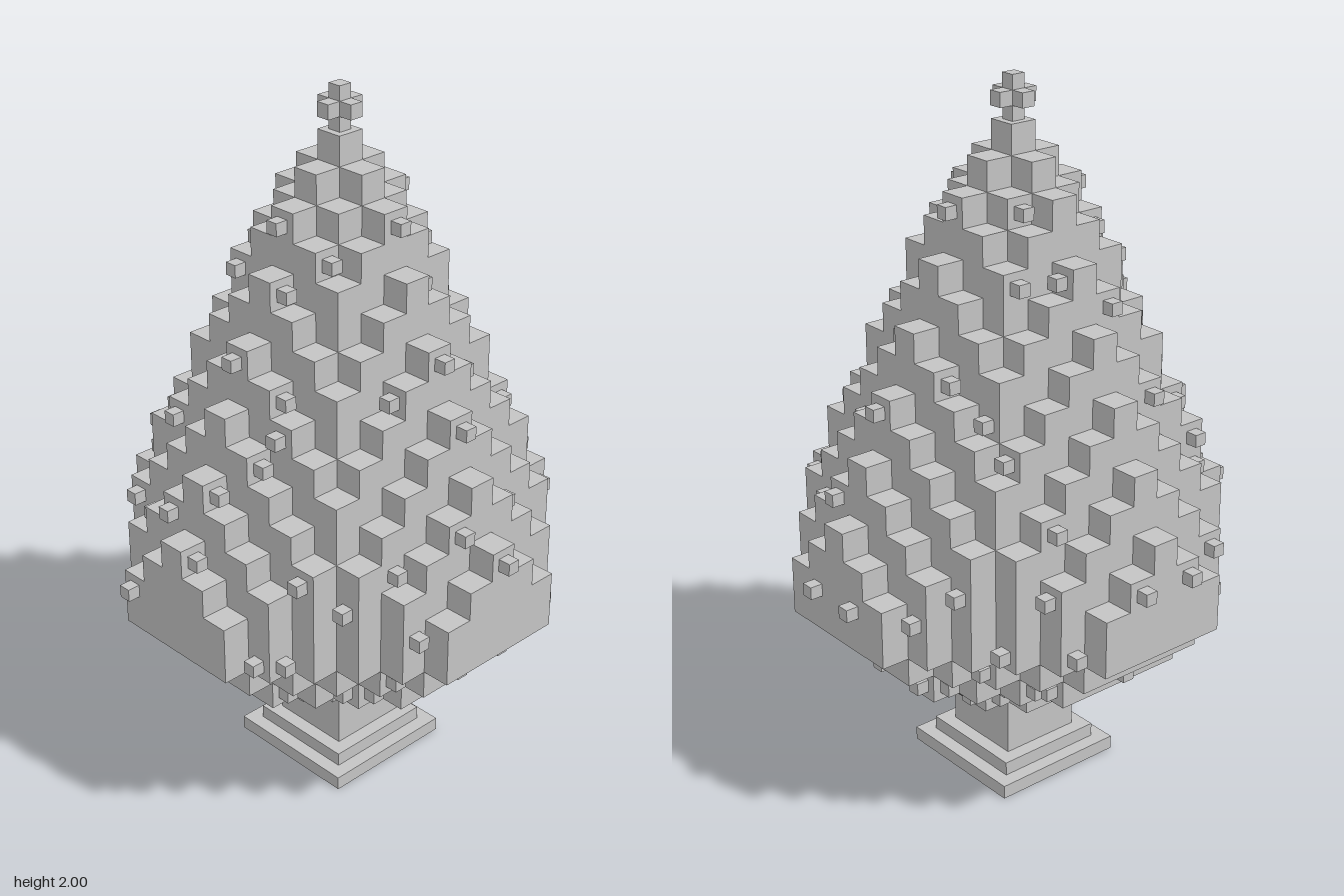
import * as THREE from 'three';

const S = 0.081;       // width of one step
const H = 0.0816;      // height of one layer
const Y0 = 0.247;      // underside of the foliage
const B = 0.036;       // size of a bauble
const LAYERS = 20;

// Lowest layers widen upwards: [half width in steps, cut corner]
const LOWER = [[2, 3], [3, 4], [5, 7], [6, 8]];

// Whether the cell at column i, row j belongs to layer l
function filled(l, i, j) {
  const hi = Math.max(Math.abs(i), Math.abs(j));
  const sum = Math.abs(i) + Math.abs(j);
  if (l < 4) return hi <= LOWER[l][0] && sum <= LOWER[l][1];
  if (l >= 18) return sum <= 19 - l;
  return hi <= 7 && sum <= 9 && hi + sum <= 21 - l;
}

// How many steps the layer reaches outward in column i, or -1 for none
function reach(l, i) {
  let j = 7;
  while (j >= 0 && !filled(l, i, j)) j--;
  return j;
}

// Stepped outline of a layer, extruded upwards
function layerGeometry(l) {
  const n = reach(l, 0);
  const pts = [];
  const add = (x, y) => {
    const p = pts[pts.length - 1];
    if (!p || Math.hypot(p.x - x, p.y - y) > 1e-4) pts.push(new THREE.Vector2(x, y));
  };
  for (const side of [-1, 1]) {
    for (let c = -n; c <= n; c++) {
      const i = -side * c;
      const w = side * (reach(l, i) + 0.5) * S;
      add((i + side * 0.5) * S, w);
      add((i - side * 0.5) * S, w);
    }
  }
  const g = new THREE.ExtrudeGeometry(new THREE.Shape(pts), { depth: H, bevelEnabled: false });
  return g.rotateX(-Math.PI / 2).translate(0, Y0 + l * H, 0);
}

// Columns carrying a bauble on each side, listed per layer from the bottom
const BAUBLES = {
  front: [[-2, 2], [], [-5, -3, 0, 2, 5], [-3], [-6, 3, 6], [-3], [], [-7, -3, 0], [-1, 5], [-6],
    [-5, 4], [0], [-4], [0, 4], [], [-3], [-2], [0]],
  right: [[-2, 1], [-1, 2], [-5, -4, 0, 2, 5], [-3, 4], [-6, -3, 5], [-1, 1, 3], [4, 6], [-5, -3], [-6, -1], [],
    [-2, 4], [0, 3], [-4], [], [], [-3, 3], [-2], [0]],
  back: [[-2, 2], [1], [-5, -3, 0, 3], [3], [-3, 6], [], [-1, 1, 3], [6], [-3, 4], [4],
    [4], [2], [-4], [], [1], [-2], [2], [-1]],
  left: [[-2, 1], [2], [-5, -2, 0, 4], [-3], [-6, 3], [-2], [5], [-4, 4], [-1], [],
    [-3], [2], [4], [0], [], [-2], [], [0]],
};

export function createModel() {
  const model = new THREE.Group();
  model.name = 'steppedTree';
  const grey = new THREE.MeshStandardMaterial({ color: 0xc4c4c4 });
  grey.name = 'grey';

  const add = (parent, name, geometry) => {
    const m = new THREE.Mesh(geometry, grey);
    m.name = name;
    parent.add(m);
    return m;
  };
  const box = (parent, name, w, h, d, x, y, z) =>
    add(parent, name, new THREE.BoxGeometry(w, h, d)).position.set(x, y, z);

  // Stand and trunk
  box(model, 'standBase', 0.407, 0.04, 0.407, 0, 0.02, 0);
  box(model, 'standStep', 0.325, 0.04, 0.325, 0, 0.06, 0);
  box(model, 'trunk', 0.242, 0.17, 0.242, 0, 0.165, 0);

  // Foliage
  const foliage = new THREE.Group();
  foliage.name = 'foliage';
  model.add(foliage);
  for (let l = 0; l < LAYERS; l++) add(foliage, 'foliageLayer', layerGeometry(l));

  // Baubles on the four sides
  const angles = { front: 0, right: Math.PI / 2, back: Math.PI, left: -Math.PI / 2 };
  for (const [name, rows] of Object.entries(BAUBLES)) {
    const group = new THREE.Group();
    group.name = name + 'Baubles';
    group.rotation.y = angles[name];
    model.add(group);
    rows.forEach((row, l) => row.forEach((i) =>
      box(group, 'bauble', B, B, B, i * S, Y0 + (l + 0.5) * H, (reach(l, i) + 0.5) * S + B / 2)));
  }

  // Cross-shaped star on top
  const star = new THREE.Group();
  star.name = 'topStar';
  model.add(star);
  const top = Y0 + LAYERS * H;
  box(star, 'starPost', 0.04, 2 - top, 0.04, 0, (2 + top) / 2, 0);
  for (const s of [-1, 1]) {
    box(star, 'starArm', 0.04, 0.04, 0.04, s * 0.04, 1.94, 0);
    box(star, 'starArm', 0.04, 0.04, 0.04, 0, 1.94, s * 0.04);
  }
  return model;
}
